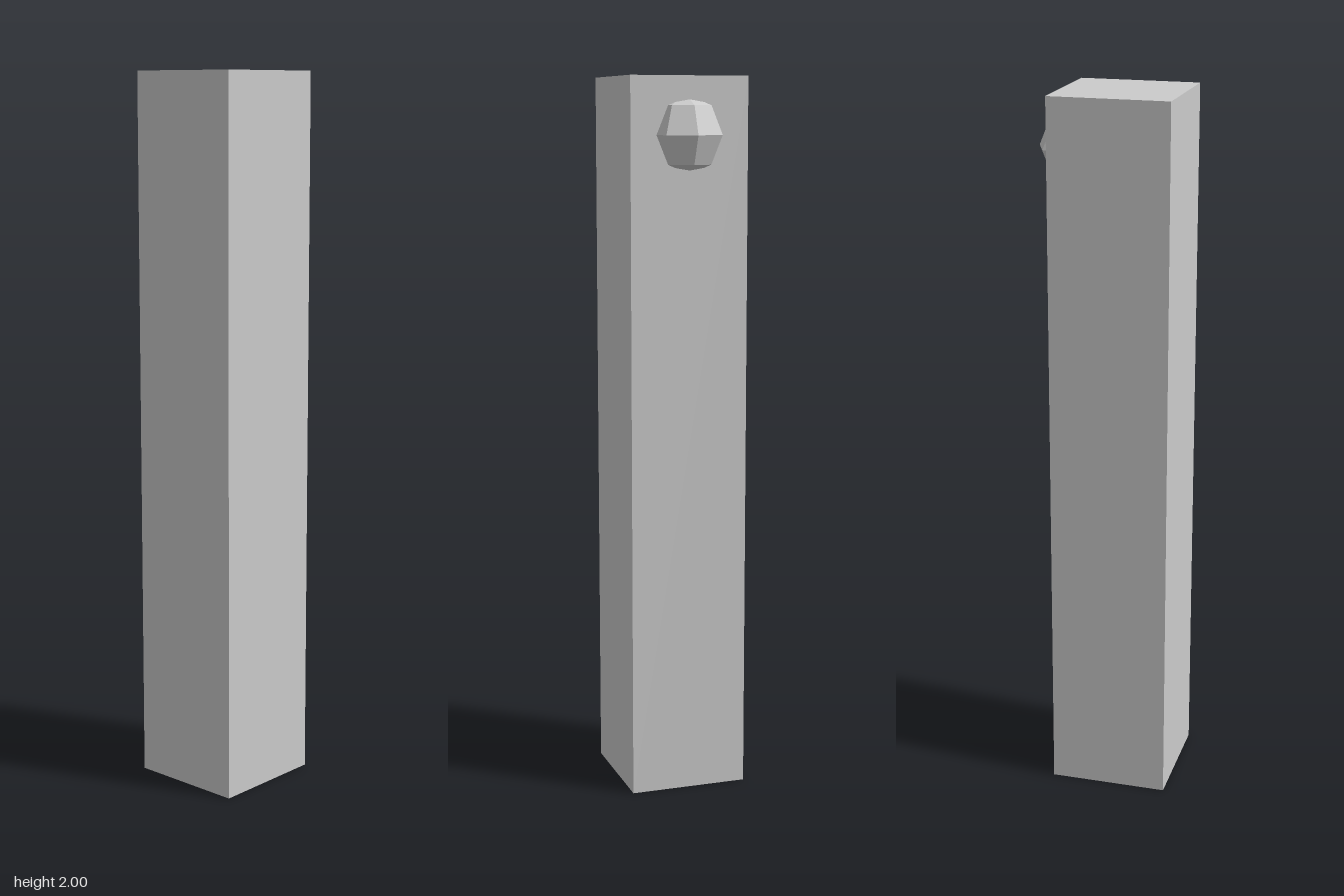
import * as THREE from 'three';

export function createModel() {
  const model = new THREE.Group();
  const material = new THREE.MeshStandardMaterial({ color: 0xcccccc, flatShading: true });

  const addPart = (name, geometry, x, y, z) => {
    const mesh = new THREE.Mesh(geometry, material);
    mesh.name = name;
    mesh.position.set(x, y, z);
    model.add(mesh);
  };

  // Square upright post
  addPart('post', new THREE.BoxGeometry(0.333, 2, 0.333), 0, 1, 0.035);

  // Faceted knob, partly sunk into the back near the top
  addPart('knob', new THREE.SphereGeometry(0.111, 8, 4), 0, 1.843, -0.0905);

  return model;
}
